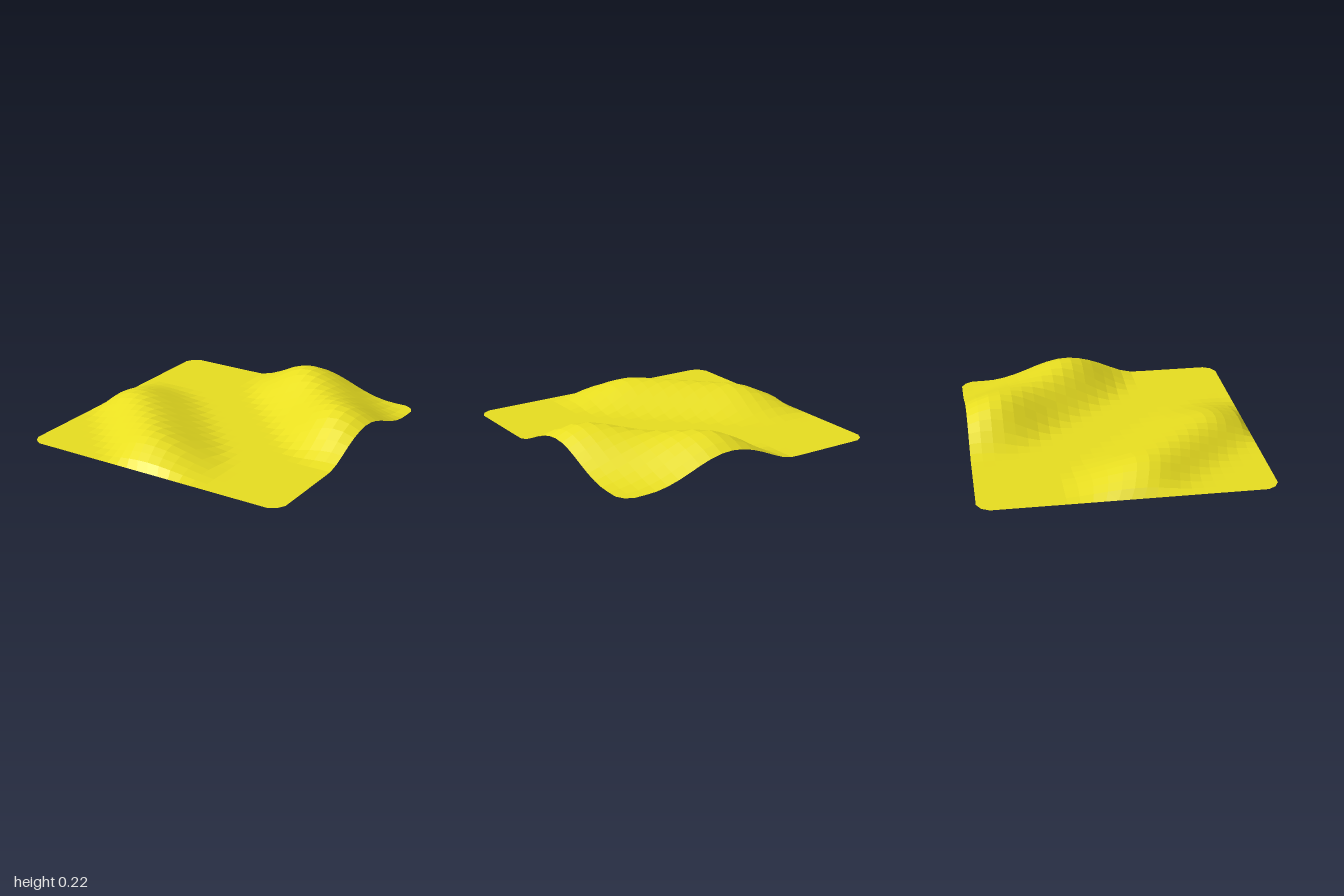
import * as THREE from 'three';

const CELLS = 24;

// Hills lie across the diagonal that runs from the front right to the back left.
// crest: place on the diagonal, half: half length of the crest,
// inner, outer, ends: reach of the slopes, sag: dip in the middle of the crest
const highHill = { crest: 0.686, half: 0.39, height: 0.225, inner: 0.43, outer: 0.6, ends: 0.68, sag: 0.03 };
const lowHill = { crest: -0.46, half: 0.354, height: 0.144, inner: 0.36, outer: 0.52, ends: 0.63, sag: 0 };
const LEAN = 0.6; // sideways lean of the low hill per unit of its height

// Height of a hill at a point, with a smooth S-shaped slope
function hillHeight(x, z, { crest, half, height, inner, outer, ends, sag }) {
  const along = (x - z) / Math.SQRT2;
  const across = Math.abs(x + z) / Math.SQRT2;
  const reach = Math.abs(along) < Math.abs(crest) ? inner : outer;
  const distance = Math.hypot((along - crest) / reach, Math.max(0, across - half) / ends);
  const r = Math.max(0, 1 - distance);
  const dip = sag * Math.cos((Math.PI / 2) * Math.min(1, across / half)) ** 2;
  return (height - dip) * r * r * (3 - 2 * r);
}

// One normal per four-sided cell, so each cell reads as a single facet
function facetCells(geometry) {
  geometry.computeVertexNormals();
  const normal = geometry.attributes.normal;
  const a = new THREE.Vector3(), b = new THREE.Vector3();
  for (let i = 0; i < normal.count; i += 6) {
    a.fromBufferAttribute(normal, i);
    b.fromBufferAttribute(normal, i + 3);
    a.add(b).normalize();
    for (let k = 0; k < 6; k++) normal.setXYZ(i + k, a.x, a.y, a.z);
  }
}

export function createModel() {
  const group = new THREE.Group();
  group.name = 'terrain';

  // Open sheet raised by the two hills
  const grid = new THREE.PlaneGeometry(2, 2, CELLS, CELLS).rotateX(-Math.PI / 2);
  const pos = grid.attributes.position;
  for (let i = 0; i < pos.count; i++) {
    let x = pos.getX(i), z = pos.getZ(i);
    const onRim = Math.max(Math.abs(x), Math.abs(z)) > 0.99;

    // The low hill stops at the rim and leans outward
    const low = onRim ? 0 : hillHeight(x, z, lowHill);
    const y = low + hillHeight(x, z, highHill);
    x -= low * LEAN;
    z += low * LEAN;

    // Trim the four corners
    if (Math.min(Math.abs(x), Math.abs(z)) > 0.99) {
      x *= 0.97;
      z *= 0.97;
    }
    pos.setXYZ(i, x, y, z);
  }

  const sheet = grid.toNonIndexed();
  facetCells(sheet);
  const material = new THREE.MeshStandardMaterial({ color: 0xe8de20, side: THREE.DoubleSide });
  const ground = new THREE.Mesh(sheet, material);
  ground.name = 'hillySurface';
  group.add(ground);
  return group;
}
